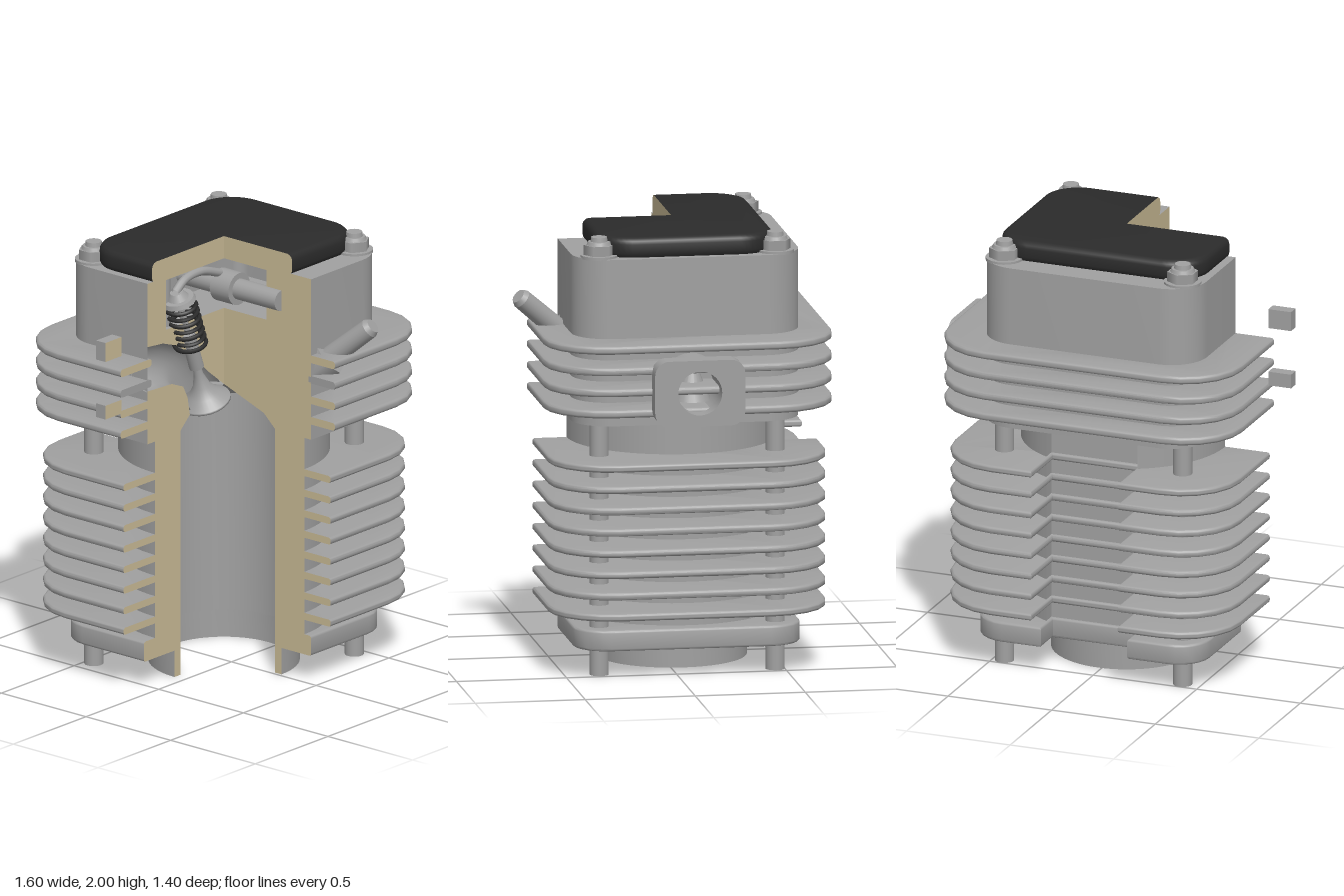
import * as THREE from 'three';
import { toCreasedNormals } from 'three/addons/utils/BufferGeometryUtils.js';

const paint = (name, color, side = THREE.FrontSide) => {
  const m = new THREE.MeshStandardMaterial({ color, side });
  m.name = name;
  return m;
};
const V = (x, y, z) => new THREE.Vector3(x, y, z);

export function createModel() {
  const metal = paint('castMetal', 0xa0a0a0, THREE.DoubleSide);
  const black = paint('blackCover', 0x2b2b2b);
  const section = paint('sectionFace', 0xc8b994, THREE.DoubleSide);

  const root = new THREE.Group();
  root.name = 'cutawayCylinder';
  const engine = new THREE.Group();
  engine.name = 'engine';
  engine.position.set(0.015, 0, -0.057); // cylinder axis; the quarter x < 0, z > 0 is cut away
  root.add(engine);

  const add = (name, geo, mat = metal, parent = engine) => {
    const m = new THREE.Mesh(geo, mat);
    m.name = name;
    parent.add(m);
    return m;
  };
  const smooth = (geo) => toCreasedNormals(geo, 0.6);

  // Points on an arc
  const arc = (cx, cy, r, a0, a1, n) => Array.from({ length: n + 1 }, (_, i) => {
    const a = a0 + (a1 - a0) * i / n;
    return new THREE.Vector2(cx + r * Math.cos(a), cy + r * Math.sin(a));
  });
  const P = (...list) => list.map(([x, y]) => new THREE.Vector2(x, y));
  const PI = Math.PI;

  // Inner edge of a plan: bore arc, or just the axis
  const inner = (bore) => bore ? arc(0, 0, bore, PI, -PI / 2, 48) : P([0, 0]);
  // Three-quarter rounded rectangle, drawn in (x, -z), with an optional slot in the back
  const rectPlan = (hx, hz, r, { bore = 0, slot = 0, n = 6 } = {}) => new THREE.Shape([
    ...P([0, -hz]),
    ...arc(hx - r, -hz + r, r, -PI / 2, 0, n),
    ...arc(hx - r, hz - r, r, 0, PI / 2, n),
    ...(slot ? P([slot, hz], [slot, 0.36], [-slot, 0.36], [-slot, hz]) : []),
    ...arc(-hx + r, hz - r, r, PI / 2, PI, n),
    ...P([-hx, 0]),
    ...inner(bore),
  ]);
  // Three-quarter ring
  const ringPlan = (R, bore, slot = 0) => {
    const a = slot ? Math.acos(slot / R) : PI / 2;
    return new THREE.Shape([
      ...arc(0, 0, R, -PI / 2, a, 32),
      ...(slot ? P([slot, 0.36], [-slot, 0.36]) : []),
      ...arc(0, 0, R, PI - a, PI, 20),
      ...inner(bore),
    ]);
  };

  // Upright slab from a plan; cut faces get the section colour, or are left open
  const slab = (name, plan, y0, y1, { bevel: b = 0, mat = metal, cutMat = section, open = false, skipBottom = false } = {}) => {
    let geo = new THREE.ExtrudeGeometry(plan, {
      depth: y1 - y0 - 2 * b, bevelEnabled: b > 0, bevelSize: b, bevelThickness: b, bevelSegments: 3,
    });
    geo.rotateX(-PI / 2).translate(0, y0 + b, 0);
    // Keep bevels from growing into the cut quarter
    const p = geo.attributes.position;
    for (let i = 0; i < p.count; i++) {
      const x = p.getX(i), z = p.getZ(i);
      if (x < 0 && z > 0) {
        if (-x <= b + 1e-4) p.setX(i, 0);
        if (z <= b + 1e-4) p.setZ(i, 0);
      }
    }
    geo = smooth(geo);
    const q = geo.attributes.position, nrm = geo.attributes.normal;
    const pos = [[], []], nor = [[], []];
    for (let i = 0; i < q.count; i += 3) {
      const ids = [i, i + 1, i + 2];
      const cut = ids.every((k) => Math.abs(q.getX(k)) < 1e-4 && q.getZ(k) > -1e-4)
        || ids.every((k) => Math.abs(q.getZ(k)) < 1e-4 && q.getX(k) < 1e-4);
      if (cut && open) continue;
      if (skipBottom && ids.every((k) => q.getY(k) < y0 + 1e-4)) continue;
      for (const k of ids) {
        pos[+cut].push(q.getX(k), q.getY(k), q.getZ(k));
        nor[+cut].push(nrm.getX(k), nrm.getY(k), nrm.getZ(k));
      }
    }
    const out = new THREE.BufferGeometry();
    out.setAttribute('position', new THREE.Float32BufferAttribute(pos.flat(), 3));
    out.setAttribute('normal', new THREE.Float32BufferAttribute(nor.flat(), 3));
    out.addGroup(0, pos[0].length / 3, 0);
    if (pos[1].length) out.addGroup(pos[0].length / 3, pos[1].length / 3, 1);
    return add(name, out, [mat, cutMat]);
  };

  // Round bar between two points
  const rod = (name, a, b, r0, r1 = r0, sides = 20, parent = engine) => {
    const d = b.clone().sub(a);
    const m = add(name, new THREE.CylinderGeometry(r1, r0, d.length(), sides), metal, parent);
    m.position.copy(a).addScaledVector(d, 0.5);
    m.quaternion.setFromUnitVectors(V(0, 1, 0), d.normalize());
    return m;
  };

  // Barrel, spigot and base flange
  const SLOT = 0.22, FB = 0.012;
  slab('spigot', ringPlan(0.34, 0.3), 0, 0.13);
  slab('barrel', ringPlan(0.475, 0.3, SLOT), 0.125, 1.155);
  slab('baseFlange', rectPlan(0.538, 0.503, 0.14, { bore: 0.32, slot: SLOT }), 0.125, 0.22, { bevel: FB });
  for (let i = 0; i < 8; i++) {
    const y = 0.305 + i * 0.0972;
    slab('barrelFin', rectPlan(0.678, 0.618, 0.27, { bore: 0.32, slot: SLOT, n: 5 }), y - 0.0165, y + 0.0165, { bevel: FB });
  }

  // Head: outer shell, underside, dome, fins
  slab('headShell', rectPlan(0.525, 0.515, 0.17, { n: 10 }), 1.155, 1.91, { open: true, skipBottom: true });
  slab('headUnderside', rectPlan(0.525, 0.515, 0.17, { bore: 0.3, n: 10 }), 1.15, 1.16);
  add('combustionDome', new THREE.LatheGeometry(P([0.3, 1.155], [0.235, 1.215], [0, 1.3]), 48, 0, PI * 1.5))
    .rotation.y = 0;
  for (let i = 0; i < 4; i++) {
    const y = 1.24 + i * 0.097;
    slab('headFin', rectPlan(0.698, 0.643, 0.27, { bore: 0.51, n: 5 }), y - 0.018, y + 0.018,
      { bevel: FB, cutMat: i === 2 ? metal : section });
  }

  // Section faces of the head, around port, dome and rocker chamber
  const face = (name, pts) => add(name, new THREE.ShapeGeometry(new THREE.Shape(P(...pts))), section);
  face('lowerSection', [[-0.525, 1.155], [-0.3, 1.155], [-0.235, 1.215], [-0.25, 1.3], [-0.28, 1.36], [-0.36, 1.393], [-0.525, 1.4]]);
  face('upperSection', [[-0.525, 1.61], [-0.42, 1.6], [-0.32, 1.565], [-0.22, 1.49], [-0.1, 1.38], [0, 1.3], [0, 1.66],
    [-0.4, 1.66], [-0.4, 1.895], [0, 1.895], [0, 1.91], [-0.525, 1.91]]);
  face('sideSection', [[-0.515, 1.155], [-0.3, 1.155], [-0.235, 1.215], [0, 1.3], [0, 1.66], [-0.25, 1.66],
    [-0.25, 1.895], [0, 1.895], [0, 1.91], [-0.515, 1.91]]).rotation.y = PI / 2;

  // Rocker chamber and intake port
  slab('rockerChamber', rectPlan(0.4, 0.25, 0.05), 1.66, 1.895, { open: true });
  rod('chamberBoss', V(-0.36, 1.66, -0.06), V(-0.36, 1.89, -0.06), 0.04);
  const portPath = new THREE.CatmullRomCurve3([V(-0.525, 1.505, 0), V(-0.4, 1.497, 0), V(-0.26, 1.44, 0), V(-0.17, 1.34, 0), V(-0.12, 1.26, 0)]);
  const port = new THREE.TubeGeometry(portPath, 24, 0.107, 16);
  const pp = port.attributes.position;
  port.setIndex(Array.from({ length: port.index.count / 3 }, (_, t) => [0, 1, 2].map((k) => port.index.getX(3 * t + k)))
    .filter((tri) => tri.reduce((s, k) => s + pp.getZ(k), 0) < 0).flat());
  add('intakePort', port);

  // Remains of the intake flange
  for (const [y, h] of [[1.66, 0.09], [1.375, 0.065]]) {
    add('intakeFlangePiece', new THREE.BoxGeometry(0.11, h, 0.055),
      [metal, metal, metal, metal, section, metal]).position.set(-0.76, y, -0.0275);
  }

  // Black cover
  slab('cover', rectPlan(0.465, 0.373, 0.14, { n: 10 }), 1.9, 2, { bevel: 0.03, mat: black });

  // Studs with washers and nuts
  for (const [x, z] of [[0.43, 0.4], [0.43, -0.4], [-0.43, -0.4]]) {
    rod('stud', V(x, 0, z), V(x, 1.16, z), 0.043);
    rod('washer', V(x, 1.905, z), V(x, 1.92, z), 0.085);
    rod('nut', V(x, 1.92, z), V(x, 1.965, z), 0.07, 0.07, 6);
    rod('nutCrown', V(x, 1.965, z), V(x, 1.98, z), 0.056, 0.05);
    rod('studEnd', V(x, 1.95, z), V(x, 2, z), 0.042, 0.036);
  }

  // Exhaust flange and pipe
  const s = 0.205, h = 0.15, r = 0.065;
  const flange = new THREE.Shape([
    ...arc(s - r, h - r, r, 0, PI / 2, 8), ...arc(r - s, h - r, r, PI / 2, PI, 8),
    ...arc(r - s, r - h, r, PI, PI * 1.5, 8), ...arc(s - r, r - h, r, PI * 1.5, PI * 2, 8),
  ]);
  flange.holes.push(new THREE.Path(arc(0, 0, 0.1, PI * 2, 0, 32)));
  const flangeGeo = smooth(new THREE.ExtrudeGeometry(flange, { depth: 0.09, bevelEnabled: false }));
  add('exhaustFlange', flangeGeo.rotateY(PI / 2).translate(0.695, 1.34, 0));
  for (const radius of [0.1, 0.135]) {
    add('exhaustPipe', new THREE.CylinderGeometry(radius, radius, 0.2, 32, 1, true).rotateZ(PI / 2).translate(0.61, 1.34, 0));
  }
  rod('exhaustValve', V(0.56, 1.27, 0), V(0.56, 1.43, 0), 0.085, 0.02);

  // Spark plug
  const plugA = V(0.1, 1.49, 0.5), plugB = V(0.18, 1.69, 0.725);
  const plugAt = (t) => plugA.clone().lerp(plugB, t);
  rod('plugHex', plugAt(-0.1), plugAt(0.16), 0.088, 0.088, 6);
  rod('plugBody', plugAt(0), plugAt(0.93), 0.05, 0.046);
  rod('plugTip', plugAt(0.93), plugB, 0.046, 0.034);

  // Intake valve with guide, spring and retainer
  const valve = new THREE.Group();
  valve.name = 'intakeValve';
  valve.position.set(-0.125, 1.25, 0);
  valve.quaternion.setFromUnitVectors(V(0, 1, 0), V(-0.334, 0.943, 0).normalize());
  engine.add(valve);
  add('valveBody', new THREE.LatheGeometry(P([0, 0], [0.115, 0], [0.115, 0.012], [0.07, 0.045], [0.04, 0.09],
    [0.022, 0.15], [0.016, 0.22], [0.016, 0.6], [0, 0.6]), 28), metal, valve);
  rod('valveGuide', V(0, 0.19, 0), V(0, 0.38, 0), 0.034, 0.034, 20, valve);
  rod('springRetainer', V(0, 0.555, 0), V(0, 0.575, 0), 0.08, 0.072, 24, valve);
  rod('valveCap', V(0, 0.575, 0), V(0, 0.605, 0), 0.05, 0.03, 20, valve);
  class Coil extends THREE.Curve {
    getPoint(t, out = new THREE.Vector3()) {
      const a = t * 7 * PI * 2;
      return out.set(0.072 * Math.cos(a), 0.31 + 0.24 * t, 0.072 * Math.sin(a));
    }
  }
  add('valveSpring', new THREE.TubeGeometry(new Coil(), 180, 0.01, 6), black, valve);

  // Rocker arm and shaft
  const arm = new THREE.CatmullRomCurve3([V(-0.335, 1.82, 0), V(-0.27, 1.865, 0), V(-0.16, 1.875, 0), V(-0.03, 1.835, 0)]);
  add('rockerArm', new THREE.TubeGeometry(arm, 20, 0.02, 10));
  rod('rockerShaft', V(0, 1.77, -0.24), V(0, 1.77, 0.34), 0.048);
  rod('rockerCollar', V(0, 1.77, -0.02), V(0, 1.77, 0.09), 0.075, 0.075, 28);

  return root;
}
